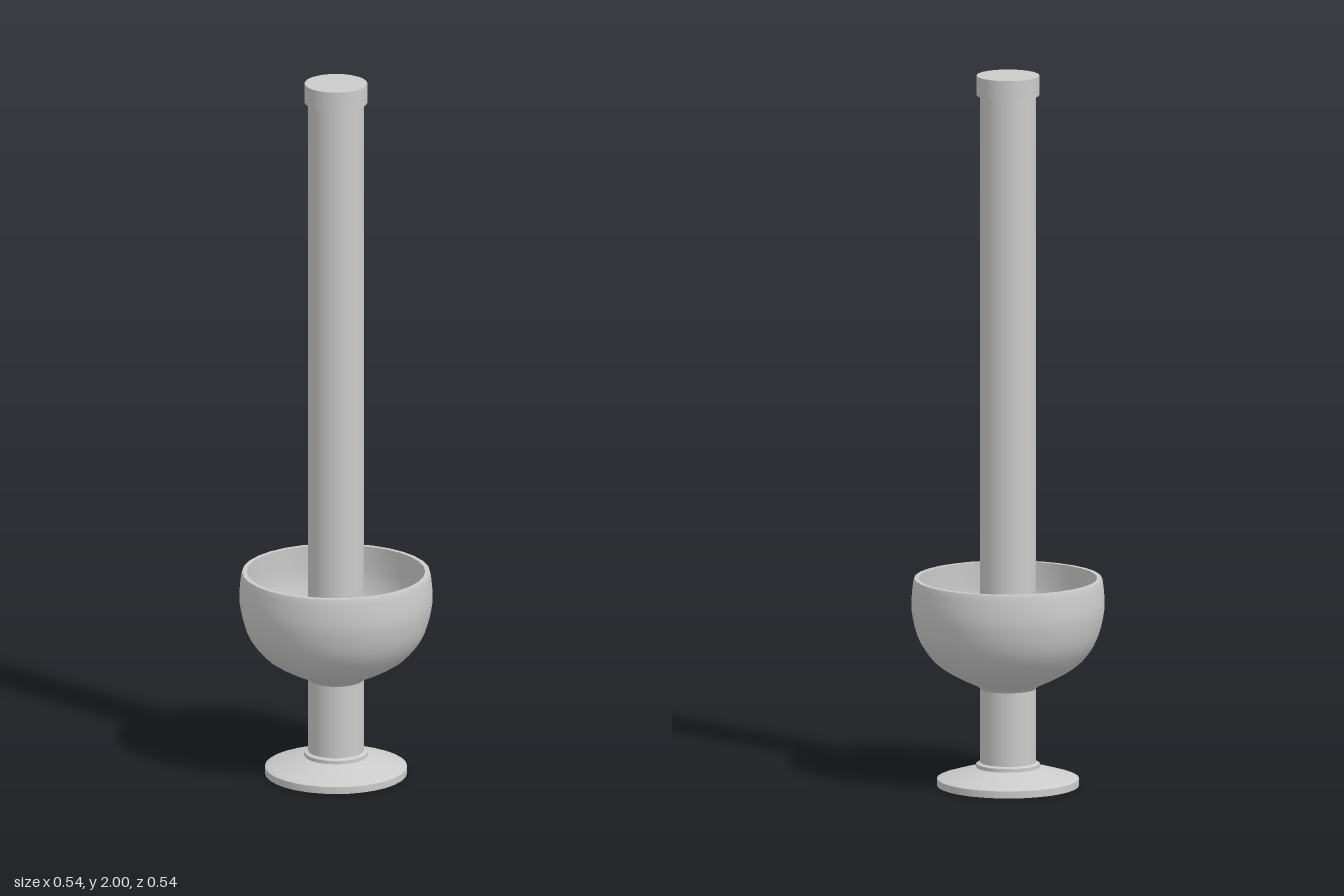
import * as THREE from 'three';
import { toCreasedNormals } from 'three/addons/utils/BufferGeometryUtils.js';

const SIDES = 32;
const material = new THREE.MeshStandardMaterial({ color: 0xcccccc });

// Turned part: straight profile sections, [radius, height], bottom to top on the outside
function turned(name, profile) {
  const points = profile.map(([r, y]) => new THREE.Vector2(r, y));
  const mesh = new THREE.Mesh(toCreasedNormals(new THREE.LatheGeometry(points, SIDES), 0.6), material);
  mesh.name = name;
  return mesh;
}

// Solid cylinder between two heights
function rod(name, radius, y0, y1) {
  const mesh = new THREE.Mesh(new THREE.CylinderGeometry(radius, radius, y1 - y0, SIDES), material);
  mesh.position.y = (y0 + y1) / 2;
  mesh.name = name;
  return mesh;
}

// Smooth curve through a few profile points
function smooth(profile, count) {
  const curve = new THREE.SplineCurve(profile.map(([r, y]) => new THREE.Vector2(r, y)));
  return curve.getPoints(count).map((p) => [p.x, p.y]);
}

export function createModel() {
  const group = new THREE.Group();
  group.name = 'pipe';

  // Flared foot with a small collar around the tube
  group.add(turned('foot', [
    [0, 0], [0.197, 0], [0.197, 0.02],
    ...smooth([[0.19, 0.023], [0.14, 0.038], [0.088, 0.052]], 6),
    [0.088, 0.062], [0.077, 0.066],
  ]));

  // Long straight tube and its mouthpiece ring
  group.add(rod('tube', 0.077, 0.01, 1.99));
  group.add(rod('mouthpiece', 0.087, 1.945, 2));

  // Open bowl: outer wall up, flat rim, inner wall back down to the tube
  group.add(turned('bowl', [
    ...smooth([[0.076, 0.272], [0.09, 0.284], [0.14, 0.308], [0.2, 0.347], [0.245, 0.408],
      [0.265, 0.48], [0.267, 0.53], [0.262, 0.578]], 20),
    [0.26, 0.584], [0.247, 0.584],
    ...smooth([[0.249, 0.53], [0.247, 0.48], [0.229, 0.415], [0.188, 0.361], [0.132, 0.325], [0.074, 0.305]], 16),
  ]));

  return group;
}
